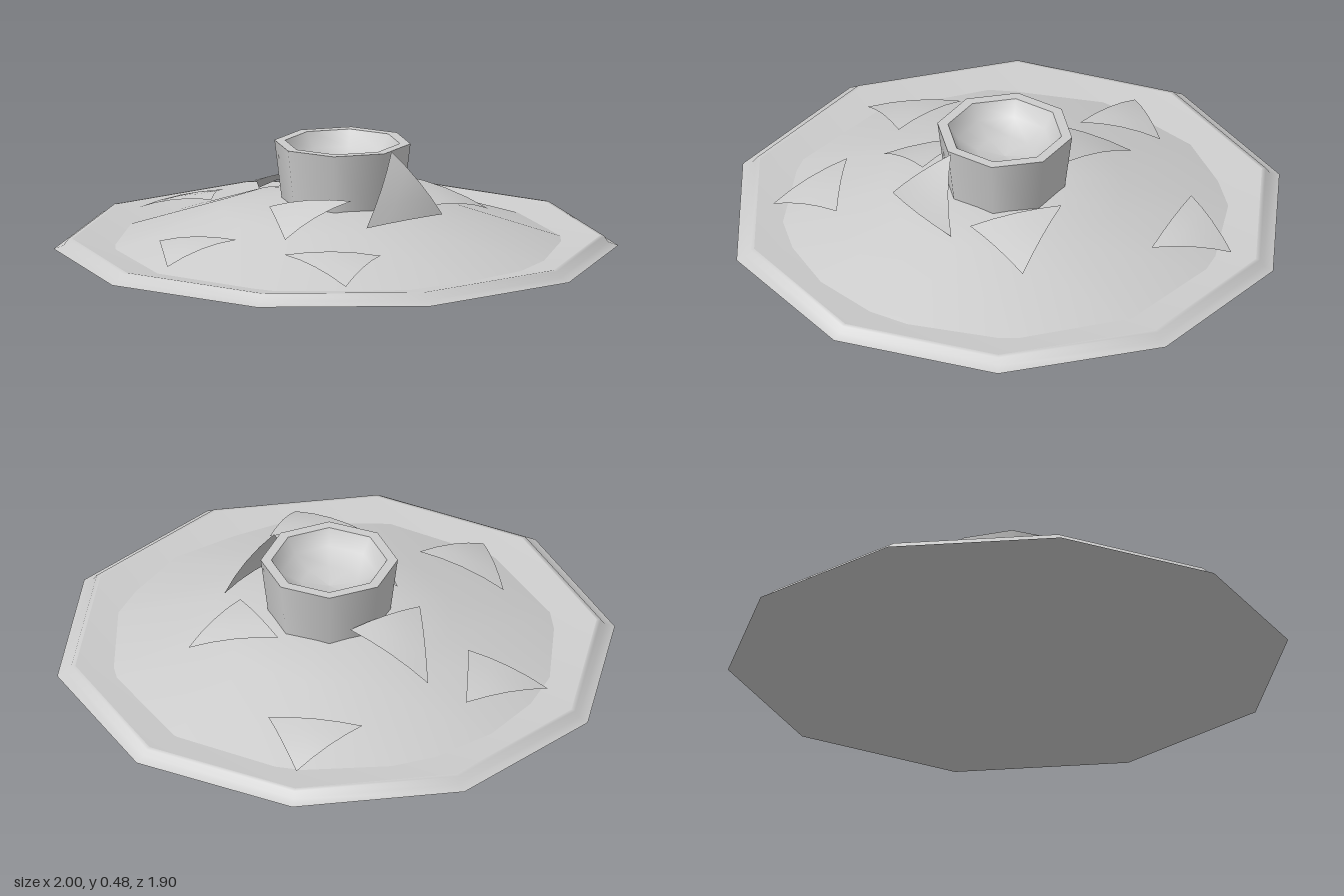
import * as THREE from 'three';

const grey = new THREE.MeshStandardMaterial({ color: 0xcccccc, side: THREE.DoubleSide });

// Faceted round part; repeating a profile point keeps that edge sharp
function turned(name, profile, sides, start = 0) {
  const points = profile.map(([r, y]) => new THREE.Vector2(r, y));
  const mesh = new THREE.Mesh(new THREE.LatheGeometry(points, sides, start), grey);
  mesh.name = name;
  return mesh;
}

// Thin triangular chip, gently arched between its three corners
function chip(name, corners, bulge = 0.02, steps = 4) {
  const [a, b, c] = corners.map((p) => new THREE.Vector3(...p));
  const normal = b.clone().sub(a).cross(c.clone().sub(a)).normalize();
  const at = (i, j) => {
    const u = i / steps, v = j / steps, w = 1 - u - v;
    const arch = 1.5 * bulge * (1 - u * u - v * v - w * w);
    return new THREE.Vector3().addScaledVector(a, w).addScaledVector(b, u)
      .addScaledVector(c, v).addScaledVector(normal, arch);
  };
  const positions = [], index = [], ids = {};
  for (let i = 0; i <= steps; i++) {
    for (let j = 0; j <= steps - i; j++) {
      ids[`${i},${j}`] = positions.length / 3;
      positions.push(...at(i, j).toArray());
    }
  }
  const id = (i, j) => ids[`${i},${j}`];
  for (let i = 0; i < steps; i++) {
    for (let j = 0; j < steps - i; j++) {
      index.push(id(i, j), id(i + 1, j), id(i, j + 1));
      if (i + j < steps - 1) index.push(id(i + 1, j), id(i + 1, j + 1), id(i, j + 1));
    }
  }
  const geometry = new THREE.BufferGeometry();
  geometry.setAttribute('position', new THREE.Float32BufferAttribute(positions, 3));
  geometry.setIndex(index);
  geometry.computeVertexNormals();
  const mesh = new THREE.Mesh(geometry, grey);
  mesh.name = name;
  return mesh;
}

export function createModel() {
  const model = new THREE.Group();
  model.name = 'chipPlatter';

  // Ten-sided plate with a flat foot and a stepped rim
  model.add(turned('plate', [
    [0, 0], [0.5, 0], [0.5, 0], [1, 0.09], [1, 0.09],
    [0.965, 0.103], [0.95, 0.125], [0.935, 0.127], [0.935, 0.127], [0.5, 0.06], [0, 0.06],
  ], 10, Math.PI / 2));

  // Low heap of food
  const mound = turned('mound', [[0.85, 0.09], [0.43, 0.233], [0.2, 0.268], [0, 0.27]], 12);
  mound.position.z = 0.015;
  model.add(mound);

  // Eight-sided dip bowl with a dished filling
  const bowl = turned('dipBowl', [
    [0.212, 0.22], [0.243, 0.475], [0.243, 0.475], [0.205, 0.475], [0.205, 0.475],
    [0.17, 0.42], [0.1, 0.38], [0, 0.365],
  ], 8);
  bowl.position.set(0.012, 0, 0.022);
  model.add(bowl);

  // Chips, corners listed anticlockwise from above
  const chips = new THREE.Group();
  chips.name = 'chips';
  [
    [[-0.31, 0.14, -0.75], [-0.21, 0.21, -0.45], [0, 0.18, -0.65]],
    [[0.39, 0.205, -0.52], [0.57, 0.19, -0.23], [0.69, 0.14, -0.49]],
    [[-0.62, 0.16, -0.22], [-0.8, 0.14, 0.06], [-0.53, 0.21, 0.11]],
    [[-0.5, 0.195, 0.35], [-0.48, 0.135, 0.68], [-0.24, 0.195, 0.57]],
    [[0.04, 0.21, -0.5], [-0.18, 0.31, -0.24], [0.11, 0.32, -0.18]],
    [[-0.26, 0.265, -0.05], [-0.42, 0.22, 0.25], [-0.14, 0.325, 0.27]],
    [[0.31, 0.305, -0.02], [0.19, 0.265, 0.29], [0.48, 0.21, 0.26]],
    [[0.04, 0.48, 0.27], [-0.16, 0.25, 0.385], [0.19, 0.25, 0.37]],
  ].forEach((corners, i) => chips.add(chip(`chip${i + 1}`, corners)));
  model.add(chips);

  return model;
}
